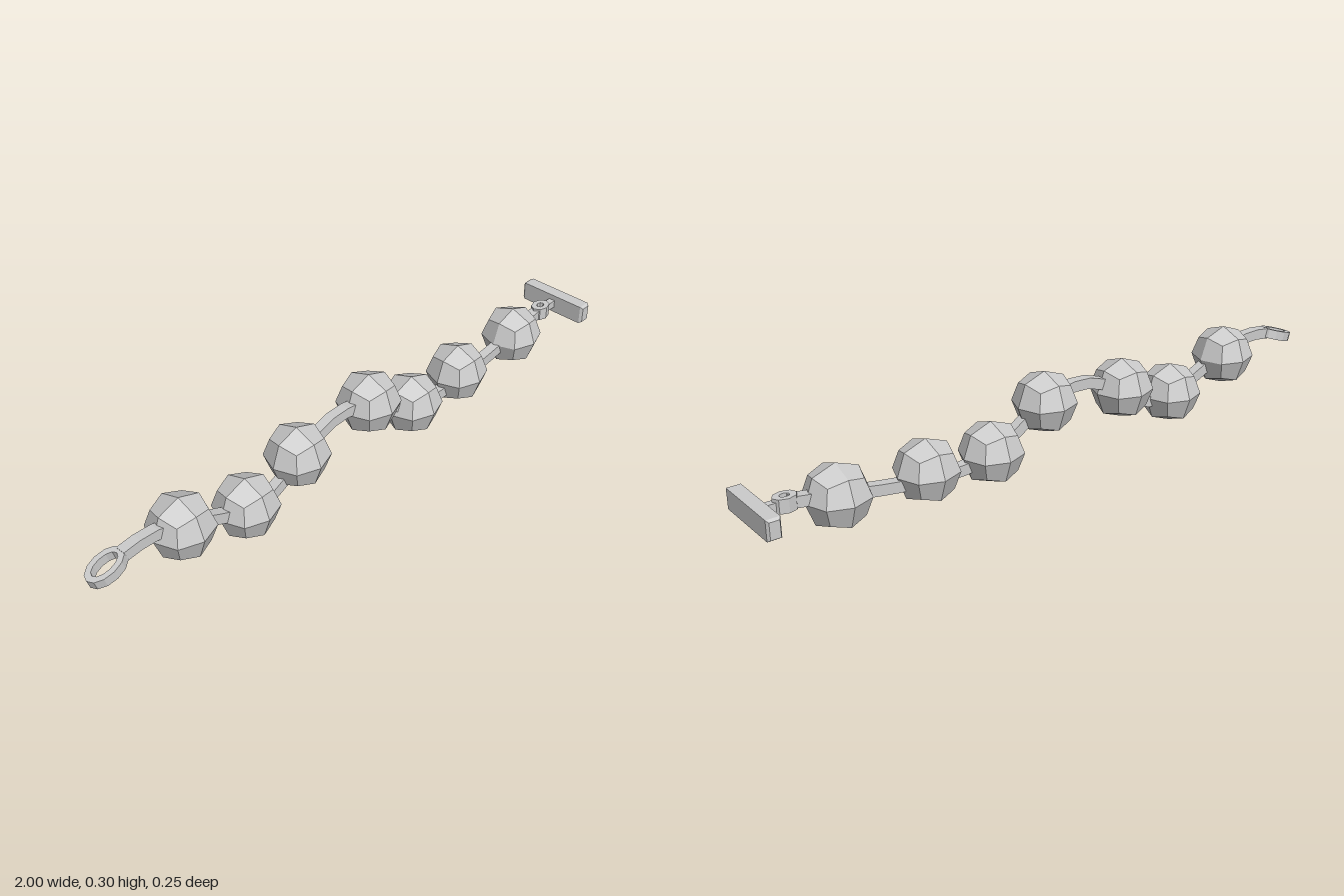
import * as THREE from 'three';

const material = new THREE.MeshStandardMaterial({ color: 0xcccccc, flatShading: true, side: THREE.DoubleSide });

function add(group, name, geometry, x = 0, y = 0, z = 0) {
  const mesh = new THREE.Mesh(geometry, material);
  mesh.name = name;
  mesh.position.set(x, y, z);
  group.add(mesh);
  return mesh;
}

// Faceted bead: a cube with 2 x 2 faces per side, rounded outwards
function beadGeometry(radius) {
  const geometry = new THREE.BoxGeometry(2, 2, 2, 2, 2, 2);
  const pos = geometry.attributes.position;
  const scale = [0, 1, 0.73, 0.575]; // face centre, edge middle, corner
  const v = new THREE.Vector3();
  for (let i = 0; i < pos.count; i++) {
    v.fromBufferAttribute(pos, i).round();
    const axes = Math.abs(v.x) + Math.abs(v.y) + Math.abs(v.z);
    v.multiplyScalar(radius * scale[axes]);
    pos.setXYZ(i, v.x, v.y, v.z);
  }
  return geometry;
}

// Square cord following a wavy line in the xy plane
function cordGeometry(points, thickness, width) {
  const curve = new THREE.CatmullRomCurve3(points.map(([x, y]) => new THREE.Vector3(x, y, 0)));
  const upper = [], lower = [];
  const steps = 34;
  for (let i = 0; i <= steps; i++) {
    const p = curve.getPointAt(i / steps), t = curve.getTangentAt(i / steps);
    const nx = -t.y * thickness / 2, ny = t.x * thickness / 2;
    upper.push(new THREE.Vector2(p.x + nx, p.y + ny));
    lower.push(new THREE.Vector2(p.x - nx, p.y - ny));
  }
  const shape = new THREE.Shape([...lower, ...upper.reverse()]);
  return new THREE.ExtrudeGeometry(shape, { depth: width, bevelEnabled: false }).translate(0, 0, -width / 2);
}

// Flat oval ring lying in the xz plane
function ringGeometry(rx, rz, holeX, holeZ, height, sides) {
  const oval = (a, b) => Array.from({ length: sides }, (_, i) => {
    const angle = i / sides * Math.PI * 2;
    return new THREE.Vector2(a * Math.cos(angle), b * Math.sin(angle));
  });
  const shape = new THREE.Shape(oval(rx, rz));
  shape.holes.push(new THREE.Path(oval(holeX, holeZ)));
  return new THREE.ExtrudeGeometry(shape, { depth: height, bevelEnabled: false })
    .translate(0, 0, -height / 2).rotateX(-Math.PI / 2);
}

// Bar with chamfered ends
function barGeometry(w, h, length, chamfer) {
  const geometry = new THREE.BoxGeometry(w, h, length, 1, 1, 3);
  const pos = geometry.attributes.position;
  for (let i = 0; i < pos.count; i++) {
    const z = pos.getZ(i);
    if (Math.abs(z) > length * 0.4) {
      pos.setX(i, pos.getX(i) * 0.72);
      pos.setY(i, pos.getY(i) * 0.82);
    } else {
      pos.setZ(i, Math.sign(z) * (length / 2 - chamfer));
    }
  }
  return geometry;
}

export function createModel() {
  const group = new THREE.Group();
  group.name = 'beadedBracelet';

  // Cord
  add(group, 'cord', cordGeometry([
    [-0.89, 0.218], [-0.8, 0.225], [-0.69, 0.195], [-0.57, 0.142], [-0.46, 0.1], [-0.36, 0.105],
    [-0.26, 0.165], [-0.17, 0.212], [-0.09, 0.23], [0.04, 0.205], [0.13, 0.148], [0.235, 0.09],
    [0.35, 0.07], [0.456, 0.075], [0.55, 0.083], [0.65, 0.098], [0.737, 0.115], [0.82, 0.128], [0.88, 0.137],
  ], 0.034, 0.032));

  // Beads
  const bead = beadGeometry(0.096);
  const centres = [[-0.69, 0.187], [-0.46, 0.112], [-0.257, 0.177], [0.041, 0.206],
    [0.235, 0.098], [0.456, 0.105], [0.738, 0.113]];
  centres.forEach(([x, y], i) => add(group, 'bead' + (i + 1), bead, x, y, -0.004));

  // Clasp loop at one end
  const loop = add(group, 'claspLoop', ringGeometry(0.062, 0.041, 0.043, 0.024, 0.03, 12), -0.937, 0.204, -0.003);
  loop.rotation.z = 0.3;

  // Connector, stem and toggle bar at the other end
  add(group, 'connectorRing', ringGeometry(0.036, 0.027, 0.015, 0.011, 0.042, 8), 0.888, 0.137);
  add(group, 'stem', new THREE.BoxGeometry(0.055, 0.026, 0.022), 0.935, 0.135);
  add(group, 'toggleBar', barGeometry(0.042, 0.062, 0.246, 0.009), 0.976, 0.135, 0.001);

  return group;
}
